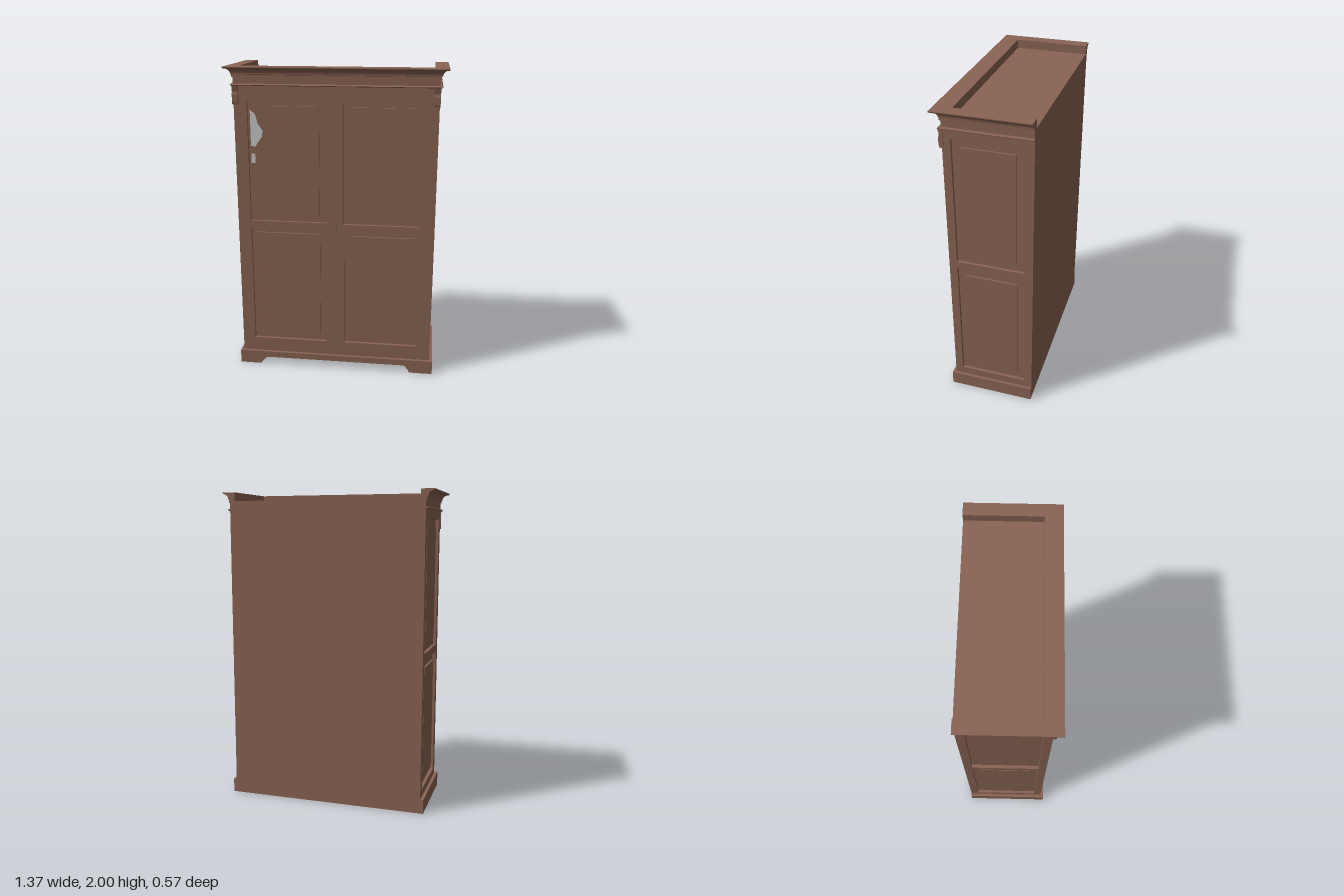
import * as THREE from 'three';

const BACK = -0.287;

export function createModel() {
  const model = new THREE.Group();
  const wood = new THREE.MeshStandardMaterial({ color: 0x8a6453 });
  wood.name = 'brownWood';
  const grey = new THREE.MeshStandardMaterial({ color: 0xcccccc });
  grey.name = 'lightGrey';

  const add = (name, geo, mat = wood, parent = model) => {
    const m = new THREE.Mesh(geo, mat);
    m.name = name;
    parent.add(m);
    return m;
  };
  // Box given by its limits
  const box = (name, x0, x1, y0, y1, z0, z1, mat = wood, parent = model) => {
    const m = add(name, new THREE.BoxGeometry(x1 - x0, y1 - y0, z1 - z0), mat, parent);
    m.position.set((x0 + x1) / 2, (y0 + y1) / 2, (z0 + z1) / 2);
    return m;
  };
  const rectPath = (P, [x0, x1, y0, y1]) => {
    const p = new P();
    p.moveTo(x0, y0).lineTo(x1, y0).lineTo(x1, y1).lineTo(x0, y1).closePath();
    return p;
  };

  // Frame with sunk openings and raised fields, facing +z with its face at z = 0
  const DEPTH = 0.02;
  const panelledFace = (name, outline, panels) => {
    const g = new THREE.Group();
    g.name = name;
    const frame = rectPath(THREE.Shape, outline);
    panels.forEach(([hole]) => frame.holes.push(rectPath(THREE.Path, hole)));
    const geo = new THREE.ExtrudeGeometry(frame, { depth: DEPTH, bevelEnabled: false });
    add(name + 'Frame', geo.translate(0, 0, -DEPTH), wood, g);
    panels.forEach(([, f]) => box(name + 'Field', f[0], f[1], f[2], f[3], -DEPTH, -0.008, wood, g));
    model.add(g);
    return g;
  };

  // Cabinet core and back board
  box('cabinetCore', -0.612, 0.612, 0.09, 1.945, BACK + 0.002, 0.22);
  box('backBoard', -0.632, 0.632, 0, 1.945, BACK, -0.27);

  // Door front
  panelledFace('doorFront', [-0.632, 0.632, 0.09, 1.945], [
    [[-0.55, -0.055, 1.02, 1.8], [-0.51, -0.1, 1.06, 1.76]],
    [[0.055, 0.535, 1.015, 1.79], [0.09, 0.5, 1.06, 1.76]],
    [[-0.55, -0.055, 0.185, 0.975], [-0.51, -0.1, 0.22, 0.94]],
    [[0.06, 0.54, 0.185, 0.965], [0.095, 0.505, 0.22, 0.935]],
  ]).position.z = 0.24;

  // Panelled sides; local x runs along z, mirrored for the other side
  for (const s of [1, -1]) {
    const span = (a, b) => (s > 0 ? [-a, -b] : [b, a]);
    const side = panelledFace(s > 0 ? 'leftSide' : 'rightSide', [...span(0.239, BACK), 0.09, 1.945], [
      [[...span(0.19, -0.235), 1.01, 1.83], [...span(0.135, -0.18), 1.065, 1.78]],
      [[...span(0.19, -0.235), 0.14, 0.96], [...span(0.14, -0.185), 0.19, 0.91]],
    ]);
    side.rotation.y = s * Math.PI / 2;
    side.position.x = s * 0.632;
  }

  // Plinth with a cut-out front
  const p = new THREE.Shape();
  p.moveTo(-0.652, 0).lineTo(-0.51, 0);
  p.quadraticCurveTo(-0.5, 0.02, -0.487, 0.03).quadraticCurveTo(-0.475, 0.05, -0.455, 0.05);
  p.lineTo(0.455, 0.05);
  p.quadraticCurveTo(0.475, 0.05, 0.482, 0.03).quadraticCurveTo(0.495, 0.02, 0.5, 0);
  p.lineTo(0.652, 0).lineTo(0.652, 0.09).lineTo(-0.652, 0.09).closePath();
  const front = new THREE.ExtrudeGeometry(p, { depth: 0.03, bevelEnabled: false, curveSegments: 6 });
  add('plinthFront', front.translate(0, 0, 0.23));
  for (const s of [1, -1]) {
    const [a, b] = s > 0 ? [0.622, 0.652] : [-0.652, -0.622];
    box('plinthSide', a, b, 0, 0.09, BACK, 0.23);
  }
  box('floorUnderside', -0.51, 0.51, 0.084, 0.0895, -0.13, 0.225, grey);
  box('innerBackPlate', -0.622, 0.622, 0.001, 0.0895, -0.27, -0.266, grey);

  // Sweep a profile of [halfWidth, frontZ, y] round both sides and the front
  const sweep = (name, prof) => {
    const pos = [];
    const ring = ([x, z, y]) => [[-x, y, BACK], [-x, y, z], [x, y, z], [x, y, BACK]];
    for (let i = 0; i < prof.length - 1; i++) {
      const r0 = ring(prof[i]), r1 = ring(prof[i + 1]);
      for (let j = 0; j < 3; j++) {
        const [a, b, c, d] = [r0[j], r0[j + 1], r1[j + 1], r1[j]];
        pos.push(...a, ...b, ...c, ...a, ...c, ...d);
      }
    }
    const geo = new THREE.BufferGeometry();
    geo.setAttribute('position', new THREE.Float32BufferAttribute(pos, 3));
    geo.computeVertexNormals();
    add(name, geo);
    // End caps at the back
    for (const s of [1, -1]) {
      const shape = new THREE.Shape(prof.map(([x, , y]) => new THREE.Vector2(s * x, y)));
      const cap = new THREE.ShapeGeometry(shape).rotateY(Math.PI).translate(0, 0, BACK);
      add(name + 'End', cap);
    }
  };

  // Cornice: frieze edge, cove, flat rim and inner wall
  const cornice = [[0.6, 0.18, 1.935], [0.638, 0.246, 1.935], [0.638, 0.246, 1.95]];
  for (let i = 0; i <= 6; i++) {
    const t = (i / 6) * Math.PI / 2;
    const o = 0.036 * (1 - Math.cos(t));
    cornice.push([0.643 + o, 0.247 + o, 1.952 + 0.038 * Math.sin(t)]);
  }
  cornice.push([0.683, 0.287, 1.995], [0.683, 0.287, 2], [0.6, 0.18, 2], [0.6, 0.18, 1.935]);
  sweep('cornice', cornice);

  // Thin bead below the frieze
  sweep('friezeBead', [[0.62, 0.23, 1.885], [0.642, 0.25, 1.885], [0.648, 0.258, 1.89],
    [0.642, 0.25, 1.897], [0.62, 0.23, 1.897], [0.62, 0.23, 1.885]]);

  // Small corner brackets below the bead
  for (const s of [1, -1]) {
    const b = new THREE.Shape();
    b.moveTo(0.23, 1.77).lineTo(0.254, 1.77).lineTo(0.258, 1.79).lineTo(0.258, 1.83);
    b.lineTo(0.252, 1.85).lineTo(0.26, 1.885).lineTo(0.23, 1.885).closePath();
    const geo = new THREE.ExtrudeGeometry(b, { depth: 0.036, bevelEnabled: false });
    const m = add('cornerBracket', geo.rotateY(-Math.PI / 2));
    m.position.x = s > 0 ? 0.636 : -0.6;
  }

  // Small keyhole plate between the doors
  box('keyPlate', -0.012, 0.012, 0.955, 1.02, 0.239, 0.246);

  // Pale patches on the edge of the upper panel
  const patch = new THREE.Shape();
  patch.moveTo(-0.533, 1.51).lineTo(-0.505, 1.505).lineTo(-0.49, 1.53).lineTo(-0.46, 1.57);
  patch.lineTo(-0.456, 1.61).lineTo(-0.485, 1.65).lineTo(-0.5, 1.71).lineTo(-0.533, 1.735).closePath();
  const patchGeo = new THREE.ExtrudeGeometry(patch, { depth: 0.003, bevelEnabled: false });
  add('palePatch', patchGeo.translate(0, 0, 0.231));
  model.children[model.children.length - 1].material = grey;
  box('palePatchSmall', -0.533, -0.508, 1.4, 1.46, 0.231, 0.234, grey);

  return model;
}
